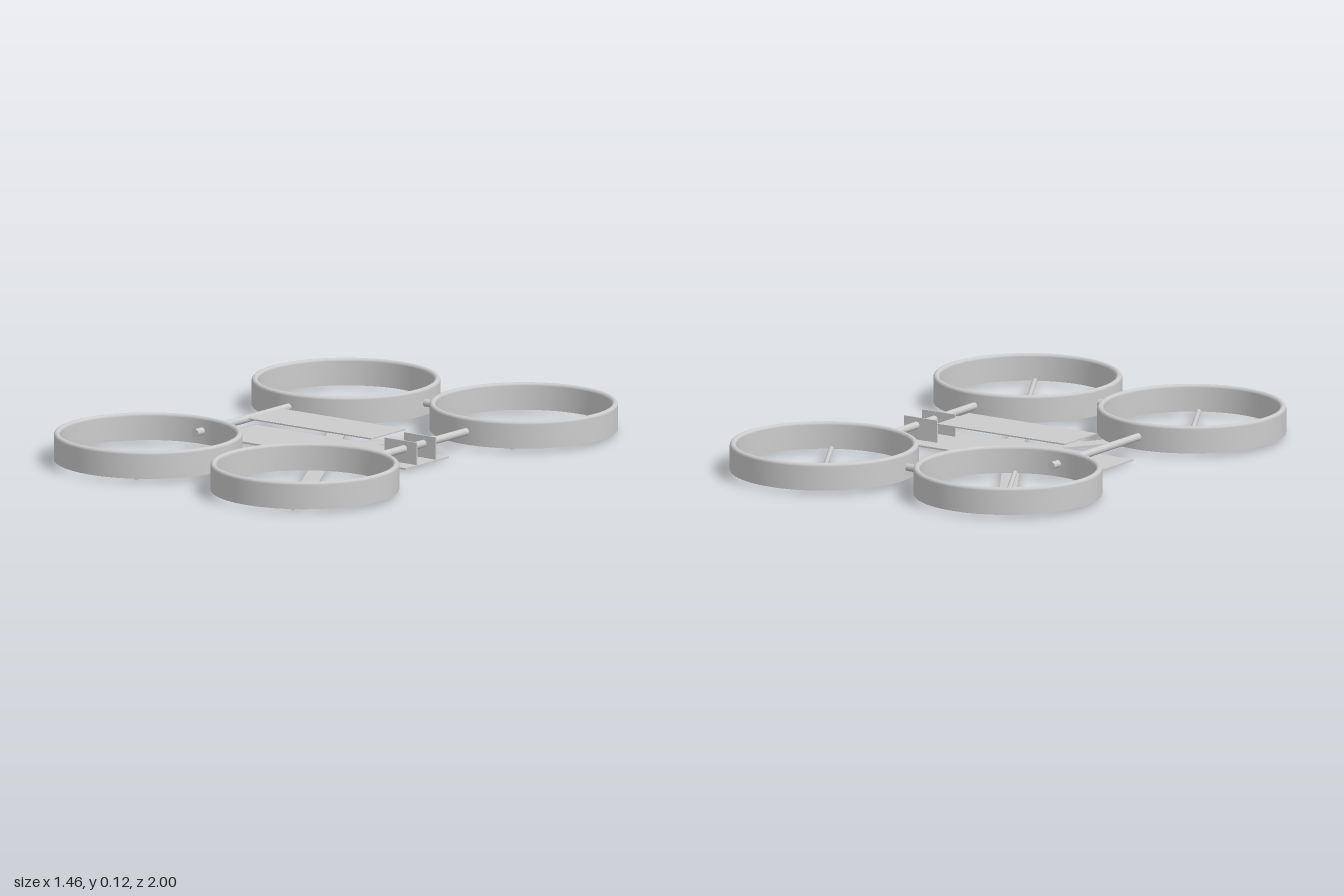
import * as THREE from 'three';

const material = new THREE.MeshStandardMaterial({ color: 0xcccccc, side: THREE.DoubleSide });

function add(parent, name, geometry, x, y, z) {
  const mesh = new THREE.Mesh(geometry, material);
  mesh.name = name;
  mesh.position.set(x, y, z);
  parent.add(mesh);
  return mesh;
}

// Round bar lying along z, or along x when turned
function addTube(parent, name, length, radius, x, y, z, alongX = false) {
  const geometry = new THREE.CylinderGeometry(radius, radius, length, 20);
  if (alongX) geometry.rotateZ(Math.PI / 2);
  else geometry.rotateX(Math.PI / 2);
  return add(parent, name, geometry, x, y, z);
}

// Duct wall with a softly rounded upper lip
function ductGeometry() {
  const outer = 0.345, inner = 0.322, bottom = 0.014, top = 0.115;
  const mid = (outer + inner) / 2, r = (outer - inner) / 2;
  const profile = [[inner, bottom], [outer, bottom], [outer, bottom], [outer, top - r]];
  for (let i = 1; i <= 6; i++) {
    const a = (i / 6) * Math.PI;
    profile.push([mid + r * Math.cos(a), top - r + r * Math.sin(a)]);
  }
  profile.push([inner, bottom]);
  return new THREE.LatheGeometry(profile.map(([x, y]) => new THREE.Vector2(x, y)), 72);
}

export function createModel() {
  const model = new THREE.Group();
  model.name = 'quadcopterFrame';
  const duct = ductGeometry();

  // Four ducted rotor mounts; the left pair sits further out
  for (const side of [-1, 1]) {
    for (const end of [-1, 1]) {
      const x = side * 0.385;
      const z = end * (side > 0 ? 0.655 : 0.592);
      const rotor = new THREE.Group();
      rotor.name = 'rotorMount';
      rotor.position.set(x, 0, z);
      model.add(rotor);
      add(rotor, 'duct', duct, 0, 0, 0);
      add(rotor, 'motorDisc', new THREE.CylinderGeometry(0.063, 0.063, 0.014, 40), 0, 0.013, 0);
      for (let i = 0; i < 3; i++) {
        const a = Math.PI / 3 + (i * 2 * Math.PI) / 3;
        const spoke = addTube(rotor, 'spoke', 0.33, 0.009,
          Math.cos(a) * 0.165, 0.015, Math.sin(a) * 0.165);
        spoke.rotation.y = Math.PI / 2 - a;
      }

      // Flat arm from the centre out to the motor
      const length = Math.hypot(x, z) + 0.03;
      const arm = add(model, 'arm', new THREE.BoxGeometry(0.064, 0.008, length), 0, 0.004, 0);
      arm.rotation.y = Math.atan2(x, z);
      arm.translateZ(length / 2);
    }
    // Side tube joining the front and back ducts
    addTube(model, 'sideTube', 0.62, 0.014, side * 0.385, 0.062, 0);
  }

  // Short tubes joining the left and right ducts
  for (const end of [-1, 1]) {
    addTube(model, 'crossTube', 0.1, 0.014, 0, 0.06, end * 0.619, true);
  }

  // Body plates
  add(model, 'lowerPlate', new THREE.BoxGeometry(0.89, 0.006, 0.26), 0, 0.006, 0);
  add(model, 'upperPlate', new THREE.BoxGeometry(0.565, 0.005, 0.206), -0.017, 0.09, 0);

  // Upright brackets around the left side tube
  for (const end of [-1, 1]) {
    add(model, 'bracket', new THREE.BoxGeometry(0.146, 0.084, 0.006), 0.368, 0.05, end * 0.058);
  }
  return model;
}
